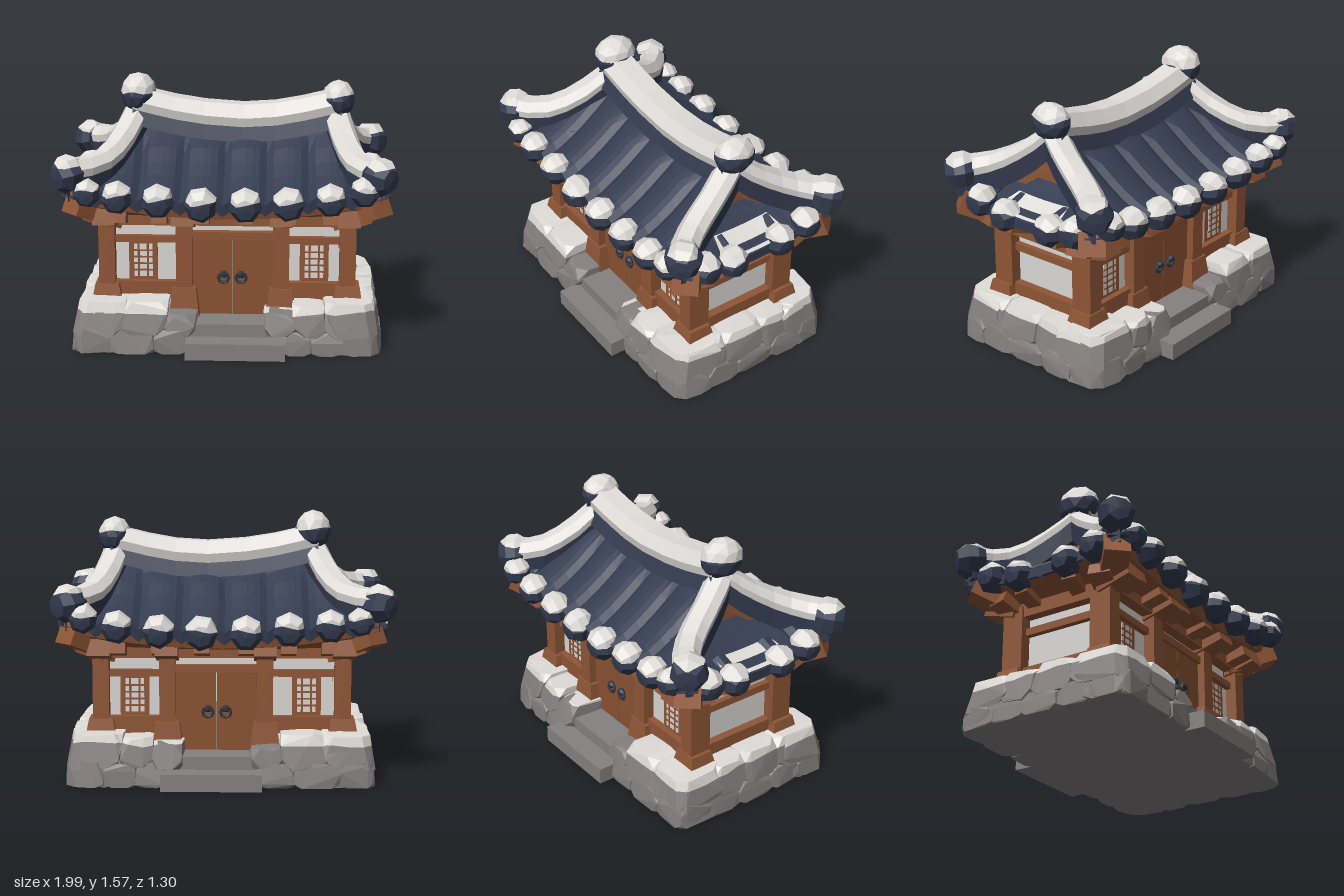
import * as THREE from 'three';
import { ConvexGeometry } from 'three/addons/geometries/ConvexGeometry.js';

const mat = (name, color) => new THREE.MeshStandardMaterial({ name, color, side: THREE.DoubleSide });
const wood = mat('wood', 0x8f5636), doorWood = mat('door wood', 0x8a5231), stone = mat('stone', 0x878181);
const snow = mat('snow', 0xe0ddd9), tile = mat('roof tile', 0x343c50), plaster = mat('plaster', 0xdad8d5);
const iron = mat('iron', 0x2f3645);

let seed = 7;
const rnd = () => ((seed = (seed * 16807) % 2147483647) / 2147483647) * 2 - 1;
const V = (x, y, z) => new THREE.Vector3(x, y, z);
const mix = THREE.MathUtils.lerp;

export function createModel() {
  const root = new THREE.Group();
  root.name = 'snowyHouse';

  const add = (name, geo, material) => {
    const g = geo.index ? geo.toNonIndexed() : geo;
    g.computeVertexNormals();
    const m = new THREE.Mesh(g, material);
    m.name = name;
    root.add(m);
    return m;
  };
  // box given by its limits
  const box = (name, material, x0, x1, y0, y1, z0, z1) =>
    add(name, new THREE.BoxGeometry(x1 - x0, y1 - y0, Math.abs(z1 - z0)).translate((x0 + x1) / 2, (y0 + y1) / 2, (z0 + z1) / 2), material);
  // tapered square post
  const post = (name, x, z, y0, y1, wBottom, wTop) =>
    add(name, new THREE.CylinderGeometry(wTop * Math.SQRT1_2, wBottom * Math.SQRT1_2, y1 - y0, 4)
      .rotateY(Math.PI / 4).translate(x, (y0 + y1) / 2, z), wood);
  // square beam between two points
  const beam = (name, a, b, w, h) => {
    const m = add(name, new THREE.BoxGeometry(w, h, a.distanceTo(b)), wood);
    m.position.copy(a).lerp(b, 0.5);
    m.lookAt(b);
  };
  // sheet from a rule (u, v) -> point
  const sheet = (name, material, nu, nv, f) => {
    const pos = [], idx = [];
    for (let j = 0; j <= nv; j++) for (let i = 0; i <= nu; i++) pos.push(...f(i / nu, j / nv).toArray());
    for (let j = 0; j < nv; j++) for (let i = 0; i < nu; i++) {
      const a = j * (nu + 1) + i, c = a + nu + 1;
      idx.push(a, c, a + 1, a + 1, c, c + 1);
    }
    const g = new THREE.BufferGeometry();
    g.setAttribute('position', new THREE.Float32BufferAttribute(pos, 3));
    g.setIndex(idx);
    add(name, g, material);
  };
  // cut a solid at a slightly wavy height: snow above, base material below
  const snowCapped = (name, geo, y, base) => {
    const p = (geo.index ? geo.toNonIndexed() : geo).attributes.position;
    const height = q => q.y - y - 0.012 * Math.sin(25 * (q.x + q.z));
    for (const [s, material, label] of [[1, snow, 'Snow'], [-1, base, '']]) {
      const out = [];
      for (let i = 0; i < p.count; i += 3) {
        const tri = [0, 1, 2].map(k => V().fromBufferAttribute(p, i + k)), poly = [];
        tri.forEach((a, k) => {
          const b = tri[(k + 1) % 3], da = s * height(a), db = s * height(b);
          if (da >= 0) poly.push(a);
          if (da * db < 0) poly.push(a.clone().lerp(b, da / (da - db)));
        });
        for (let k = 1; k + 1 < poly.length; k++)
          for (const q of [poly[0], poly[k], poly[k + 1]]) out.push(q.x, q.y, q.z);
      }
      if (!out.length) continue;
      const g = new THREE.BufferGeometry();
      g.setAttribute('position', new THREE.Float32BufferAttribute(out, 3));
      add(name + label, g, material);
    }
  };
  const ball = (name, x, y, z, rx, ry, rz, cut) =>
    snowCapped(name, new THREE.IcosahedronGeometry(1, 1).rotateY(rnd() * 3).rotateX(rnd() * 0.5)
      .scale(rx, ry, rz).translate(x, y, z), y + cut, tile);
  // blunt faceted tile end, facing outward along yaw
  const endProfile = [[0, -0.8], [0.75, -0.8], [1, -0.35], [0.98, 0.25], [0.62, 0.78], [0, 0.86]].map(p => new THREE.Vector2(...p));
  const tileEnd = (name, x, y, z, r, yaw, cut) =>
    snowCapped(name, new THREE.LatheGeometry(endProfile, 7).rotateY(rnd() * 3).rotateX(Math.PI / 2 + 0.12)
      .scale(r * 1.05, r * 1.1, r).rotateY(yaw).translate(x, y, z), y + cut, tile);
  // chamfered uneven block that leans inward with height, rounded off at the house corners
  const rock = (x0, x1, y0, y1, z0, z1, cut) => {
    const pts = [], c = 0.05, j = () => rnd() * 0.01;
    for (const sx of [0, 1]) for (const sy of [0, 1]) for (const sz of [0, 1]) for (let k = 0; k < 3; k++) {
      const q = [[x0, x1, sx], [y0, y1, sy], [z0, z1, sz]].map(([a, b, s], n) =>
        (s ? b - (n === k ? c : 0) : a + (n === k ? c : 0)) + j());
      const lean = 0.22 * Math.max(0, q[1] - 0.08);
      const over = Math.max(0, Math.abs(q[0]) + Math.abs(q[2]) - 1.4) / 2;
      pts.push(V(q[0] * (1 - lean) - Math.sign(q[0]) * over, Math.max(0, q[1]), q[2] * (1 - 1.6 * lean) - Math.sign(q[2]) * over));
    }
    snowCapped('foundationStone', new ConvexGeometry(pts), cut, stone);
  };
  // sweep an open cross-section [side, height] along a path
  const sweep = (name, material, path, section, n) => {
    const curve = new THREE.CatmullRomCurve3(path);
    sheet(name, material, section.length - 1, n, (u, v) => {
      const t = curve.getTangent(v), [s, h] = section[Math.round(u * (section.length - 1))];
      return curve.getPoint(v).add(V(-t.z, 0, t.x).normalize().multiplyScalar(s)).add(V(0, h, 0));
    });
  };

  // foundation
  box('foundationCore', stone, -0.8, 0.82, 0, 0.17, -0.45, 0.45);
  for (const [x0, x1] of [[-0.72, -0.2], [0.27, 0.75]]) box('platformSnow', snow, x0, x1, 0.17, 0.265, -0.39, 0.39);
  for (const s of [1, -1]) {
    const row = (list, y0, y1, zi, zo, cut) => list.forEach(([a, b, top = y1]) =>
      rock(a, b, y0, top, Math.min(s * zi, s * zo), Math.max(s * zi, s * zo), cut));
    row([[-0.885, -0.67], [-0.67, -0.41], [-0.41, -0.2], [0.34, 0.51], [0.51, 0.69], [0.69, 0.92]], -0.03, 0.14, 0.3, 0.56, 1);
    row([[-0.89, -0.605, 0.295], [-0.605, -0.345, 0.3], [-0.345, -0.17, 0.22], [0.24, 0.425, 0.245], [0.425, 0.61, 0.28], [0.61, 0.93, 0.3]],
      0.11, 0.3, 0.25, 0.56, 0.245);
    box('lowerStep', stone, -0.22, 0.36, 0, 0.1, s * 0.4, s * 0.65);
    box('upperStep', stone, -0.2, 0.28, 0.05, 0.175, s * 0.3, s * 0.52);
  }
  for (const [xi, xo] of [[0.62, 0.925], [-0.885, -0.6]]) {
    [[-0.55, -0.34], [-0.34, -0.125], [-0.125, 0.125], [0.125, 0.335], [0.335, 0.55]].forEach(([a, b]) => rock(xi, xo, -0.03, 0.14, a, b, 1));
    [[-0.56, -0.29], [-0.29, -0.065], [-0.065, 0.205], [0.205, 0.56]].forEach(([a, b]) => rock(xi, xo, 0.11, 0.3, a, b, 0.25));
  }

  // walls and timber frame
  box('walls', plaster, -0.67, 0.7, 0.17, 0.78, -0.3, 0.3);
  for (const s of [1, -1]) {
    for (const [x, y, foot] of [[-0.695, 0.27, 0.1], [-0.24, 0.18, 0.17], [0.33, 0.18, 0.17], [0.72, 0.27, 0.1]]) {
      box('column', wood, x - 0.048, x + 0.048, y, 0.76, s * 0.235, s * 0.37);
      post('columnFoot', x, s * 0.31, y, y + foot, 0.18, 0.14);
      beam('columnBracket', V(x, 0.75, s * 0.28), V(x, 0.81, s * 0.49), 0.13, 0.1);
    }
    box('eaveBeam', wood, -0.72, 0.75, 0.73, 0.83, s * 0.27, s * 0.37);
    for (const [x0, x1, xc] of [[-0.66, -0.27, -0.485], [0.35, 0.69, 0.525]]) {
      box('sillBeam', wood, x0, x1, 0.28, 0.38, s * 0.28, s * 0.345);
      box('upperRail', wood, x0, x1, 0.615, 0.655, s * 0.28, s * 0.335);
      // lattice window
      box('windowFrame', wood, xc - 0.085, xc + 0.085, 0.38, 0.62, s * 0.298, s * 0.307);
      box('windowPaper', plaster, xc - 0.055, xc + 0.055, 0.4, 0.6, s * 0.305, s * 0.311);
      for (const dx of [-0.027, 0.027]) box('latticeBar', wood, xc + dx - 0.006, xc + dx + 0.006, 0.4, 0.6, s * 0.31, s * 0.315);
      for (const y of [0.44, 0.48, 0.52, 0.56]) box('latticeBar', wood, xc - 0.055, xc + 0.055, y - 0.005, y + 0.005, s * 0.31, s * 0.315);
    }
    // double door
    box('doorFrame', wood, -0.2, 0.29, 0.64, 0.685, s * 0.28, s * 0.345);
    for (const [x0, x1, kx] of [[-0.2, 0.042, -0.01], [0.046, 0.29, 0.095]]) {
      box('doorLeaf', doorWood, x0, x1, 0.17, 0.65, s * 0.29, s * 0.325);
      add('doorBoss', new THREE.IcosahedronGeometry(0.026, 0).translate(kx, 0.425, s * 0.335), iron);
      add('doorRing', new THREE.TorusGeometry(0.03, 0.01, 5, 8).translate(kx, 0.405, s * 0.338), iron);
    }
  }
  for (const [x, s] of [[0.7, 1], [-0.67, -1]]) {
    const rail = (name, y0, y1, d) => box(name, wood, x - d, x + d, y0, y1, -0.3, 0.3);
    rail('sideSill', 0.27, 0.38, 0.05);
    rail('sideRail', 0.585, 0.63, 0.035);
    rail('sideBeam', 0.695, 0.83, 0.06);
    for (const z of [-0.17, 0.16]) beam('sideRafter', V(x, 0.76, z * 0.9), V(x + s * 0.17, 0.82, z), 0.09, 0.08);
    for (const z of [1, -1]) {
      beam('cornerRafter', V(x - s * 0.03, 0.77, z * 0.29), V(x + s * 0.2, 0.9, z * 0.5), 0.15, 0.14);
      beam('sideBracket', V(x, 0.76, z * 0.31), V(x + s * 0.15, 0.82, z * 0.35), 0.13, 0.11);
    }
  }

  // main roof, sagging in the middle, with rounded tile rolls running down to the eaves
  const edge = t => 0.08 * t + 0.25 * t ** 3;
  const roofPoint = (s, u, t) => {
    const lane = mix(-0.8625, 0.8525, u), w = (2 * u - 1) ** 2;
    const x = THREE.MathUtils.clamp(lane, -0.53 - edge(t), 0.63 + edge(t) * 0.82);
    const y = mix(0.9 + 0.36 * (1 - t) ** 1.3, 0.96 + 0.36 * (1 - t) ** 1.8, w);
    return V(x, y + 0.042 * Math.sqrt(Math.abs(Math.sin(Math.PI * (lane + 0.005) / 0.245))) * Math.min(1, 3 * t), s * 0.55 * t);
  };
  for (const s of [1, -1]) {
    sheet('roofSlope', tile, 42, 6, (u, t) => roofPoint(s, u, t));
    sheet('eaveEdge', tile, 42, 1, (u, v) => roofPoint(s, u, 1).add(V(0, -0.07 * v, -s * 0.01 * v)));
    const eaveY = u => 0.805 + 0.085 * (2 * u - 1) ** 2;
    sheet('eaveBoard', wood, 18, 1, (u, v) => V(mix(-0.84, 0.86, u), eaveY(u) + 0.07 * v, s * mix(0.5, 0.52, v)));
    sheet('soffit', wood, 18, 1, (u, v) => V(mix(mix(-0.84, 0.86, u), mix(-0.72, 0.75, u), v),
      mix(eaveY(u), 0.775, v), s * mix(0.5, 0.33, v)));
    [[-0.78, 0.965, 0.075], [-0.61, 0.94, 0.087], [-0.375, 0.92, 0.09], [-0.13, 0.9, 0.092], [0.125, 0.9, 0.092],
      [0.37, 0.91, 0.09], [0.61, 0.935, 0.087], [0.8, 0.985, 0.08]].forEach(([x, y, r]) => {
      tileEnd('eaveTileEnd', x, y, s * 0.55, r, s > 0 ? 0 : Math.PI, 0.02);
      if (Math.abs(x) < 0.7) beam('rafter', V(x, 0.77, s * 0.33), V(x, 0.81, s * 0.49), 0.09, 0.07);
    });
  }

  // side skirts, gables, side tile ends with their rolls
  for (const [x, gx, s, snowFrom] of [[0.9, 0.6, 1, 0.45], [-0.89, -0.5, -1, 0.58]]) {
    const skirt = (u, v) => {
      const k = 2 * u - 1;
      return V(mix(gx, x, v), mix(1.03, 0.89 + 0.08 * k * k, v ** 0.8), k * mix(0.34, 0.53, v));
    };
    sheet('sideRoof', tile, 10, 3, skirt);
    sheet('sideEaveEdge', tile, 10, 1, (u, v) => skirt(u, 1).add(V(0, -0.06 * v, 0)));
    for (const [v0, v1] of [[snowFrom, 0.77], [0.93, 1]])
      sheet('sideRoofSnow', snow, 6, 2, (u, v) => skirt(mix(0.28, 0.72, u), mix(v0, v1, v)).add(V(0, 0.012, 0)));
    sheet('sideSoffit', wood, 8, 1, (u, v) => V(mix(x - s * 0.02, x - s * 0.18, v),
      mix(0.83 + 0.08 * (2 * u - 1) ** 2, 0.77, v), (2 * u - 1) * mix(0.53, 0.32, v)));
    const gable = new THREE.Shape([[-0.33, 0.95], [0.33, 0.95], [0.14, 1.1], [0, 1.22], [-0.14, 1.1]].map(p => new THREE.Vector2(...p)));
    add('gableWall', new THREE.ExtrudeGeometry(gable, { depth: 0.02, bevelEnabled: false }).rotateY(Math.PI / 2).translate(gx - 0.01, 0, 0), wood);
    for (const z of [1, -1]) beam('gableBoard', V(gx + s * 0.03, 1.16, 0), V(gx + s * 0.06, 0.98, z * 0.26), 0.04, 0.05);
    [[-0.36, 0.92], [-0.17, 0.88], [0.16, 0.88], [0.35, 0.92]].forEach(([z, y]) => {
      tileEnd('sideTileEnd', x - s * 0.015, y, z, 0.088, s * Math.PI / 2, 0.03);
      add('sideTileRoll', new THREE.CylinderGeometry(0.06, 0.06, 0.16, 7).rotateZ(Math.PI / 2 - s * 0.35).translate(x - s * 0.1, y + 0.015, z), tile);
    });
  }

  // ridge and hips: snow crust over tile
  const ridge = [V(-0.56, 1.4, 0), V(-0.4, 1.36, 0), V(-0.2, 1.32, 0), V(0.1, 1.295, 0), V(0.35, 1.315, 0), V(0.55, 1.36, 0), V(0.68, 1.39, 0)];
  sweep('ridgeSnow', snow, ridge, [[-0.09, -0.04], [-0.105, 0.02], [-0.06, 0.095], [0.06, 0.095], [0.105, 0.02], [0.09, -0.04]], 8);
  sweep('ridgeTiles', tile, ridge, [[-0.12, -0.12], [-0.09, -0.03], [0.09, -0.03], [0.12, -0.12]], 8);
  for (const s of [1, -1]) for (const [dx, x0, k] of [[1, 0.64, 0.7], [-1, -0.53, 1]]) {
    const hip = [[0, 1.37, 0], [0.06, 1.25, 0.13], [0.125, 1.155, 0.28], [0.215, 1.1, 0.41], [0.36, 1.09, 0.52]]
      .map(([x, y, z]) => V(x0 + dx * x * k, y, s * z));
    sweep('hipSnow', snow, hip, [[-0.07, -0.04], [-0.078, 0.01], [-0.04, 0.06], [0.04, 0.06], [0.078, 0.01], [0.07, -0.04]], 6);
    sweep('hipTiles', tile, hip, [[-0.06, -0.16], [-0.075, -0.035], [0.075, -0.035], [0.06, -0.16], [-0.06, -0.16]], 6);
    tileEnd('cornerTileEnd', dx > 0 ? 0.89 : -0.895, 1.065, s * 0.51, 0.102, Math.atan2(dx, s), 0.06);
  }
  ball('ridgeEnd', -0.53, 1.45, 0, 0.108, 0.123, 0.133, 0.01);
  ball('ridgeEnd', 0.66, 1.42, 0, 0.1, 0.115, 0.125, 0.025);
  return root;
}
